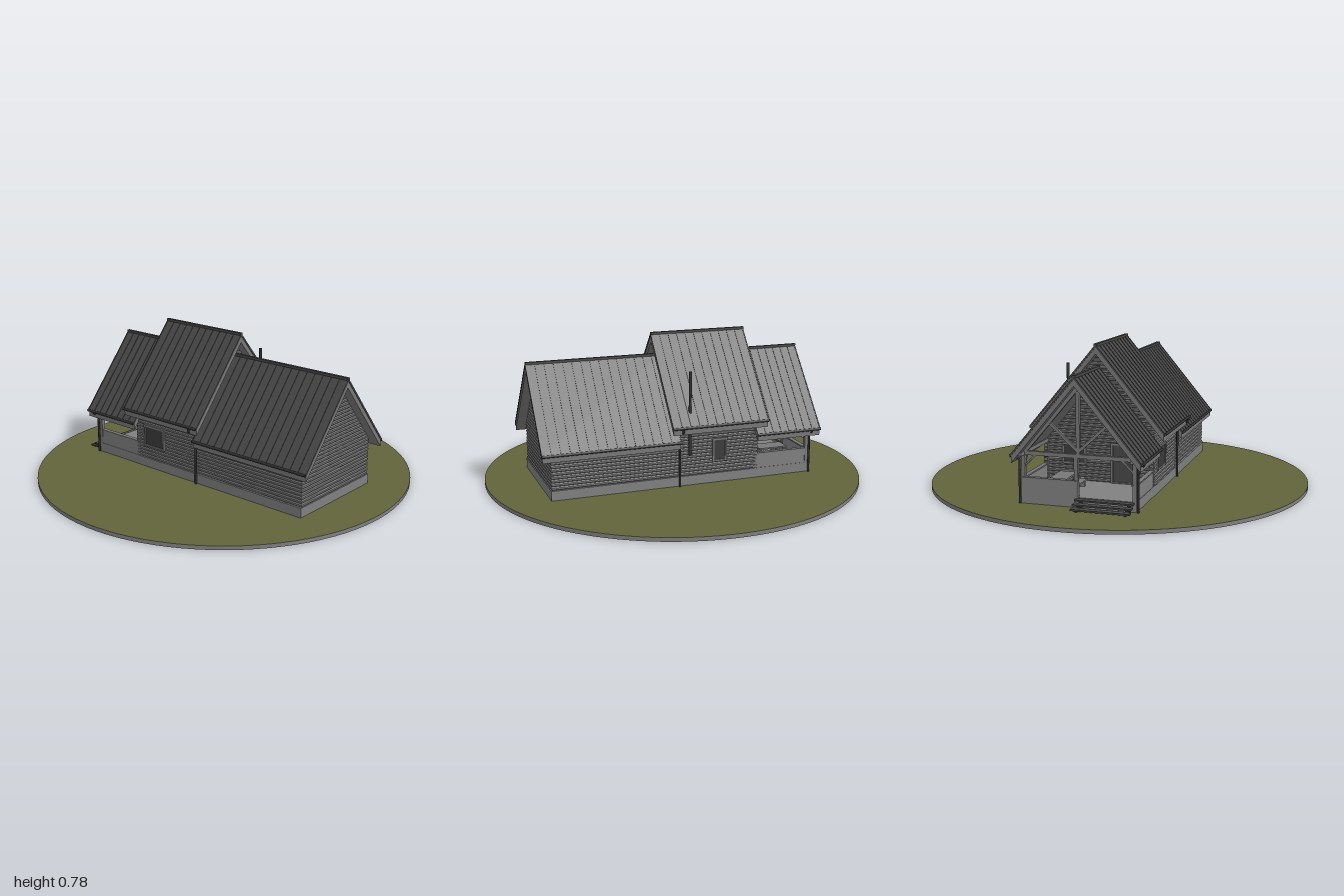
import * as THREE from 'three';

const mat = (name, color, side = THREE.FrontSide) => {
  const m = new THREE.MeshStandardMaterial({ color, side });
  m.name = name;
  return m;
};

export function createModel() {
  const model = new THREE.Group();
  model.name = 'logHouse';
  const grass = mat('grass', 0x60643a);
  const stone = mat('stone', 0x808080);
  const wood = mat('wood', 0x787878);
  const roofing = mat('roofing', 0x484848);
  const metal = mat('darkMetal', 0x303030);
  const glass = mat('glass', 0x3c3c3c);

  const add = (name, geo, material, parent = model) => {
    const mesh = new THREE.Mesh(geo, material);
    mesh.name = name;
    parent.add(mesh);
    return mesh;
  };
  const group = (name) => {
    const g = new THREE.Group();
    g.name = name;
    model.add(g);
    return g;
  };
  // Box given by its minimum and maximum corners
  const box = (name, x0, x1, y0, y1, z0, z1, material, parent) => {
    const m = add(name, new THREE.BoxGeometry(x1 - x0, y1 - y0, z1 - z0), material, parent);
    m.position.set((x0 + x1) / 2, (y0 + y1) / 2, (z0 + z1) / 2);
    return m;
  };
  // Square timber running between two points
  const beam = (name, a, b, t, parent, material = wood) => {
    const A = new THREE.Vector3(...a), B = new THREE.Vector3(...b);
    const m = add(name, new THREE.BoxGeometry(t, t, A.distanceTo(B)), material, parent);
    m.position.copy(A).add(B).multiplyScalar(0.5);
    m.lookAt(B);
    return m;
  };
  // Pipe running through a list of points
  const pipe = (name, points, r, parent) => {
    const path = new THREE.CurvePath();
    const p = points.map((q) => new THREE.Vector3(...q));
    for (let i = 1; i < p.length; i++) path.add(new THREE.LineCurve3(p[i - 1], p[i]));
    add(name, new THREE.TubeGeometry(path, 40, r, 8), metal, parent);
  };

  // Ground disc with a grass top
  add('ground', new THREE.CylinderGeometry(1, 1, 0.02, 96), [stone, grass, stone]).position.y = 0.01;

  // Foundation and porch floor
  box('foundation', -0.355, 0.735, 0.02, 0.07, -0.292, 0.292, stone);
  box('porchFloor', -0.67, -0.355, 0.02, 0.07, -0.29, 0.29, stone);

  // Log walls: stacked bevelled courses that narrow under the roof
  const SLOPE = 1.2, COURSE = 0.0185;
  const logBlock = (name, x0, x1, half, under) => {
    const g = group(name);
    for (let y = 0.07; y < under - 0.03; y += COURSE) {
      const w = Math.min(half, (under - y - COURSE) / SLOPE) - 0.005;
      if (w < 0.006) break;
      const a = x0 + 0.005, b = x1 - 0.005;
      const s = new THREE.Shape([[a, -w], [b, -w], [b, w], [a, w]].map((p) => new THREE.Vector2(...p)));
      const geo = new THREE.ExtrudeGeometry(s, {
        depth: COURSE - 0.01, bevelThickness: 0.005, bevelSize: 0.005, bevelSegments: 1,
      });
      geo.rotateX(-Math.PI / 2);
      add('logCourse', geo, wood, g).position.y = y + 0.005;
    }
  };
  logBlock('middleWalls', -0.355, 0.068, 0.29, 0.74);
  logBlock('longWalls', 0.066, 0.733, 0.286, 0.625);

  // Log ends at the porch corner
  for (const s of [-1, 1]) {
    for (let i = 0; i < 10; i++) {
      const y = 0.07 + i * COURSE;
      box('logEnd', -0.372, -0.35, y + 0.002, y + COURSE - 0.002, s * 0.28 - 0.01, s * 0.28 + 0.01, wood);
    }
  }

  // Gabled roofs: timber deck, metal sheet, seams, ridge cap and gutters
  const chevron = (ridge, half, thick, len) => {
    const e = ridge - half * SLOPE;
    const s = new THREE.Shape([
      [0, ridge], [-half, e], [-half, e - thick], [0, ridge - thick], [half, e - thick], [half, e],
    ].map((p) => new THREE.Vector2(...p)));
    return new THREE.ExtrudeGeometry(s, { depth: len, bevelEnabled: false }).rotateY(Math.PI / 2);
  };
  const roof = (name, x0, x1, ridge, half) => {
    const g = group(name);
    add('roofDeck', chevron(ridge - 0.014, half - 0.006, 0.034, x1 - x0 - 0.006), wood, g).position.x = x0 + 0.003;
    add('roofSheet', chevron(ridge - 0.004, half, 0.01, x1 - x0), roofing, g).position.x = x0;
    const n = Math.round((x1 - x0) / 0.047);
    for (let i = 0; i <= n; i++) {
      const x = x0 + (x1 - x0 - 0.005) * i / n;
      add('roofSeam', chevron(ridge, half, 0.006, 0.005), roofing, g).position.x = x;
    }
    box('ridgeCap', x0, x1, ridge - 0.01, ridge + 0.003, -0.008, 0.008, roofing, g);
    for (const s of [-1, 1]) {
      const y = ridge - half * SLOPE - 0.006, z = s * (half + 0.001);
      pipe('gutter', [[x0, y, z], [x1, y, z]], 0.007, g);
    }
  };
  roof('porchRoof', -0.72, -0.355, 0.66, 0.328);
  roof('longRoof', 0.066, 0.785, 0.66, 0.328);
  roof('middleRoof', -0.405, 0.12, 0.773, 0.354);

  // Downspouts and flue
  for (const s of [-1, 1]) {
    pipe('middleDownspout', [[0.066, 0.342, s * 0.354], [0.066, 0.318, s * 0.354],
      [0.066, 0.308, s * 0.3], [0.066, 0.02, s * 0.3]], 0.006);
    pipe('porchDownspout', [[-0.67, 0.262, s * 0.328], [-0.67, 0.248, s * 0.328],
      [-0.67, 0.238, s * 0.298], [-0.67, 0.02, s * 0.298]], 0.006);
  }
  pipe('flue', [[0.01, 0.18, -0.297], [0.01, 0.62, -0.297]], 0.008);

  // Windows and door, as framed thin panels facing +z and turned to their wall
  const opening = (name, w, h, x, y, z, turn, paneMat) => {
    const g = group(name);
    box('pane', -w / 2, w / 2, -h / 2, h / 2, 0, 0.004, paneMat, g);
    for (const s of [-1, 1]) {
      box('frameSide', s * w / 2 - 0.005, s * w / 2 + 0.005, -h / 2 - 0.005, h / 2 + 0.005, 0, 0.009, wood, g);
      box('frameRail', -w / 2, w / 2, s * h / 2 - 0.005, s * h / 2 + 0.005, 0, 0.009, wood, g);
    }
    g.position.set(x, y, z);
    g.rotation.y = turn;
  };
  opening('frontWindow', 0.14, 0.11, -0.235, 0.2, 0.29, 0, glass);
  opening('backWindow', 0.07, 0.115, -0.155, 0.195, -0.29, Math.PI, glass);
  opening('porchDoor', 0.12, 0.2, -0.355, 0.17, 0.13, -Math.PI / 2, roofing);
  opening('porchWindow', 0.12, 0.1, -0.355, 0.21, -0.13, -Math.PI / 2, glass);

  // Porch parapets with a rail on top; the +z half of the end stays open
  const porch = group('porch');
  for (const s of [-1, 1]) {
    box('sideParapet', -0.67, -0.36, 0.07, 0.145, s * 0.28 - 0.008, s * 0.28 + 0.008, stone, porch);
    box('sideRail', -0.675, -0.36, 0.145, 0.152, s * 0.28 - 0.012, s * 0.28 + 0.012, wood, porch);
    // Eave plate, corner post and braces
    beam('eavePlate', [-0.71, 0.27, s * 0.28], [-0.355, 0.27, s * 0.28], 0.018, porch);
    beam('cornerPost', [-0.66, 0.07, s * 0.28], [-0.66, 0.27, s * 0.28], 0.02, porch);
    beam('plateBrace', [-0.66, 0.205, s * 0.28], [-0.605, 0.265, s * 0.28], 0.01, porch);
    beam('tieBrace', [-0.66, 0.2, s * 0.28], [-0.66, 0.265, s * 0.215], 0.01, porch);
    // Gable truss
    beam('rafter', [-0.66, 0.6, 0], [-0.66, 0.268, s * 0.28], 0.02, porch);
    beam('strut', [-0.66, 0.29, 0], [-0.66, 0.425, s * 0.145], 0.014, porch);
  }
  box('endParapet', -0.67, -0.654, 0.07, 0.145, -0.28, -0.01, stone, porch);
  box('endRail', -0.675, -0.65, 0.145, 0.152, -0.28, -0.01, wood, porch);
  beam('middlePost', [-0.66, 0.07, -0.01], [-0.66, 0.27, -0.01], 0.02, porch);
  beam('tieBeam', [-0.66, 0.27, -0.29], [-0.66, 0.27, 0.29], 0.02, porch);
  beam('kingPost', [-0.66, 0.27, 0], [-0.66, 0.6, 0], 0.018, porch);

  // Porch table and benches
  const seats = group('porchFurniture');
  const bench = (name, z, w, h) => {
    box(name, -0.6, -0.44, h - 0.008, h, z - w, z + w, wood, seats);
    for (const x of [-0.58, -0.47]) box(name + 'Leg', x, x + 0.012, 0.07, h - 0.008, z - w * 0.7, z + w * 0.7, wood, seats);
  };
  bench('table', -0.13, 0.045, 0.135);
  bench('innerBench', -0.05, 0.018, 0.105);
  bench('outerBench', -0.21, 0.018, 0.105);

  // Entrance steps
  const steps = group('steps');
  for (let i = 0; i < 3; i++) {
    const x = -0.76 + i * 0.03, y = 0.036 + i * 0.015;
    box('tread', x, x + 0.036, y - 0.008, y, -0.01, 0.28, roofing, steps);
    for (const z of [0.01, 0.25]) box('stringer', x + 0.012, x + 0.036, 0.02, y - 0.008, z, z + 0.012, metal, steps);
  }
  return model;
}
